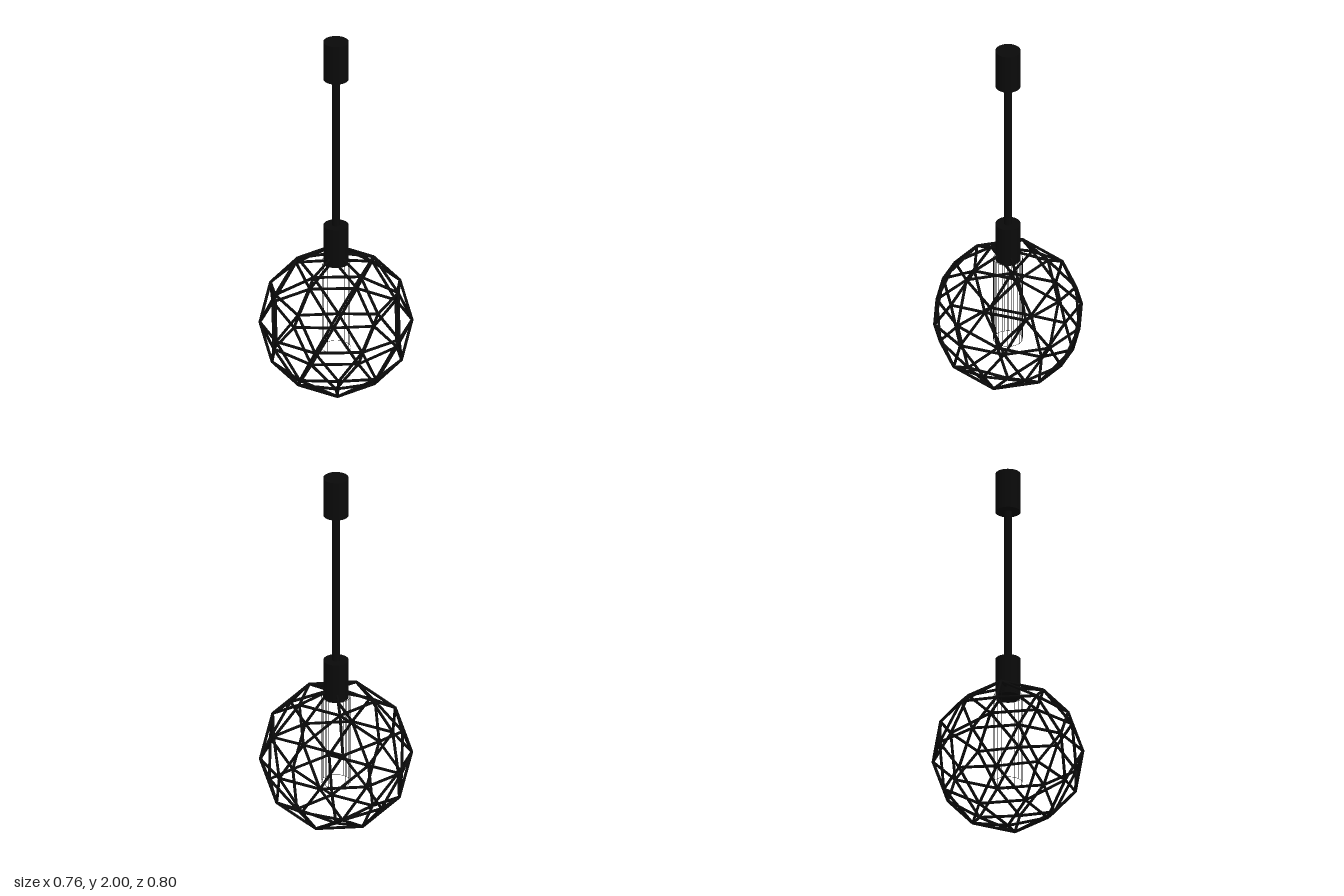
import * as THREE from 'three';
import { mergeGeometries } from 'three/addons/utils/BufferGeometryUtils.js';

const UP = new THREE.Vector3(0, 1, 0);
const CENTRE_Y = 0.4;
const CAGE_R = 0.391;
const STRUT_R = 0.0075;

// A straight round bar between two points
function bar(a, b, radius, sides) {
  const dir = b.clone().sub(a);
  const g = new THREE.CylinderGeometry(radius, radius, dir.length(), sides);
  g.applyQuaternion(new THREE.Quaternion().setFromUnitVectors(UP, dir.normalize()));
  const mid = a.clone().add(b).multiplyScalar(0.5);
  return g.translate(mid.x, mid.y, mid.z);
}

// Corners of an icosahedron standing on a point, plus its edge midpoints pushed to the sphere
function geodesicPoints() {
  const ringY = 1 / Math.sqrt(5), ringR = 2 / Math.sqrt(5);
  const corners = [new THREE.Vector3(0, 1, 0), new THREE.Vector3(0, -1, 0)];
  for (let i = 0; i < 10; i++) {
    const a = i * Math.PI / 5;
    corners.push(new THREE.Vector3(ringR * Math.cos(a), i % 2 ? -ringY : ringY, ringR * Math.sin(a)));
  }
  const points = [...corners];
  corners.forEach((p, i) => corners.slice(i + 1).forEach((q) => {
    if (p.distanceTo(q) < 1.1) points.push(p.clone().add(q).normalize());
  }));
  return points;
}

export function createModel() {
  const model = new THREE.Group();
  model.name = 'pendantLamp';
  const black = new THREE.MeshStandardMaterial({ color: 0x0a0a0a });

  const add = (name, geometry) => {
    const mesh = new THREE.Mesh(geometry, black);
    mesh.name = name;
    model.add(mesh);
  };
  const column = (name, radius, y0, y1) =>
    add(name, new THREE.CylinderGeometry(radius, radius, y1 - y0, 32).translate(0, (y0 + y1) / 2, 0));

  // Ceiling mount, stem and lamp holder
  column('ceilingMount', 0.065, 1.785, 2);
  column('stem', 0.02, 0.94, 1.79);
  column('lampHolder', 0.065, 0.735, 0.95);

  // Geodesic cage: join every pair of neighbouring points
  const points = geodesicPoints().map((p) => p.multiplyScalar(CAGE_R).add(new THREE.Vector3(0, CENTRE_Y, 0)));
  const struts = [];
  points.forEach((p, i) => {
    struts.push(new THREE.SphereGeometry(STRUT_R, 8, 6).translate(p.x, p.y, p.z));
    points.slice(i + 1).forEach((q) => {
      if (p.distanceTo(q) < 0.7 * CAGE_R) struts.push(bar(p, q, STRUT_R, 8));
    });
  });
  add('geodesicCage', mergeGeometries(struts));

  // Hair-thin cylindrical outline around the bulb
  const bulbR = 0.075, bulbTop = 0.74, bulbBottom = 0.25, wireR = 0.001;
  const wires = [bulbTop, bulbBottom].map((y) =>
    new THREE.TorusGeometry(bulbR, wireR, 4, 40).rotateX(Math.PI / 2).translate(0, y, 0));
  for (let i = 0; i < 20; i++) {
    const a = i * Math.PI / 10, x = bulbR * Math.cos(a), z = bulbR * Math.sin(a);
    wires.push(bar(new THREE.Vector3(x, bulbBottom, z), new THREE.Vector3(x, bulbTop, z), wireR, 4));
  }
  add('bulbOutline', mergeGeometries(wires));

  return model;
}
